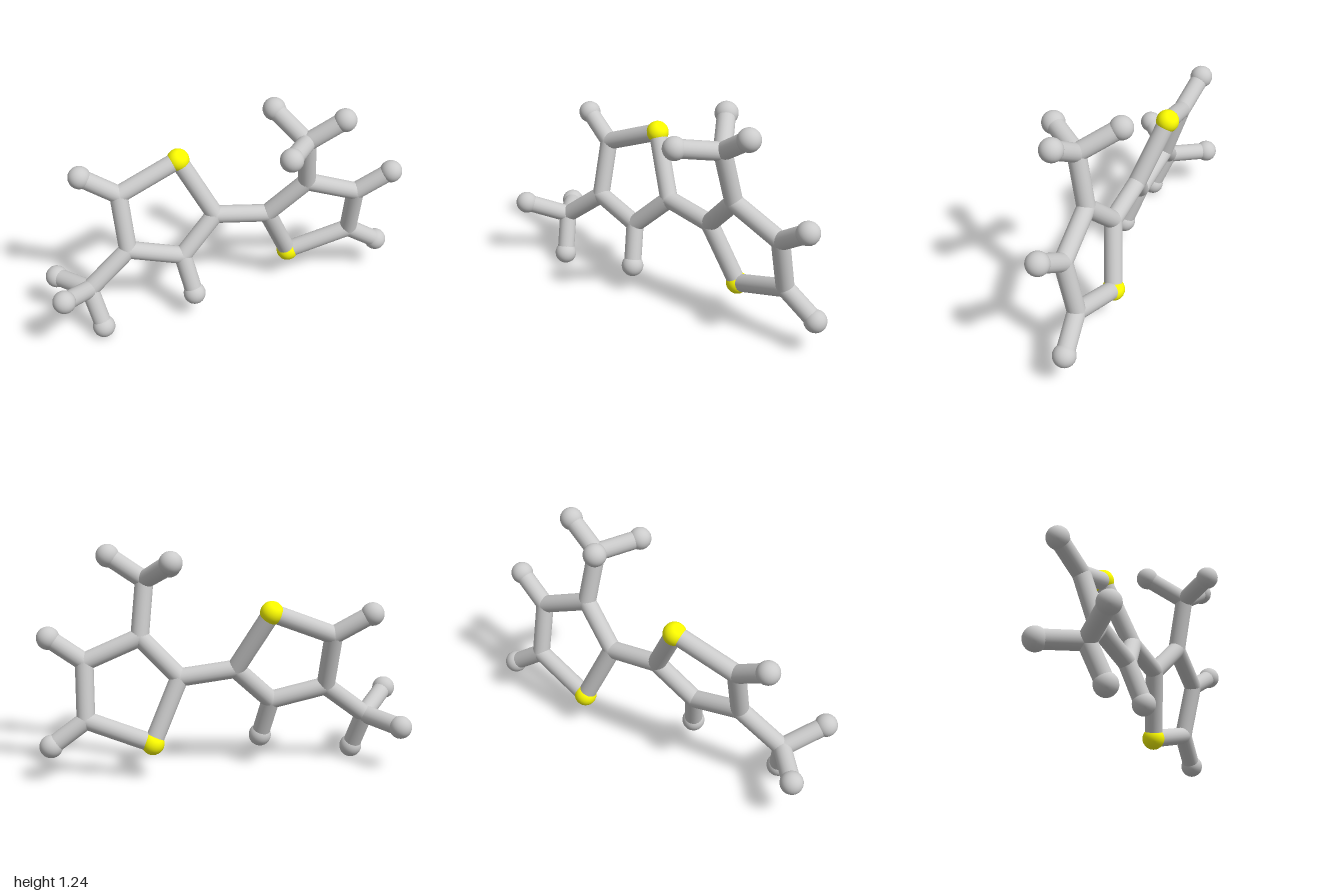
import * as THREE from 'three';

const BALL = 0.062, STICK = 0.049;

// Atom centres: the first letter gives the kind (C joint, S sulphur, H hydrogen)
const atoms = {
  // right-hand ring, its hydrogens and methyl group
  S1: [-0.225, 0.905, -0.21], C2: [-0.048, 0.583, -0.11], C3: [-0.25, 0.385, -0.047],
  C4: [-0.547, 0.462, -0.072], C5: [-0.565, 0.767, -0.165],
  H3: [-0.203, 0.162, 0.027], H5: [-0.76, 0.885, -0.205],
  C6: [-0.78, 0.277, -0.018], H6a: [-0.935, 0.37, 0.168], H6b: [-0.938, 0.252, -0.203], H6c: [-0.728, 0.064, 0.062],
  // left-hand ring, its hydrogens and methyl group
  S11: [0.4, 0.203, -0.172], C12: [0.25, 0.543, -0.103], C13: [0.455, 0.755, -0.048],
  C14: [0.75, 0.632, -0.06], C15: [0.75, 0.33, -0.126],
  H14: [0.936, 0.757, -0.023], H15: [0.936, 0.198, -0.145],
  C16: [0.423, 1.05, 0.015], H16a: [0.276, 1.086, 0.213], H16b: [0.294, 1.168, -0.168], H16c: [0.613, 1.177, 0.052],
};

const bonds = [
  'S1 C2', 'C2 C3', 'C3 C4', 'C4 C5', 'C5 S1', 'C3 H3', 'C5 H5', 'C4 C6', 'C6 H6a', 'C6 H6b', 'C6 H6c',
  'C2 C12',
  'S11 C12', 'C12 C13', 'C13 C14', 'C14 C15', 'C15 S11', 'C14 H14', 'C15 H15', 'C13 C16', 'C16 H16a', 'C16 H16b', 'C16 H16c',
];

export function createModel() {
  const group = new THREE.Group();
  group.name = 'molecule';
  const grey = new THREE.MeshStandardMaterial({ color: 0xcccccc });
  const yellow = new THREE.MeshStandardMaterial({ color: 0xffff00 });
  const ballGeo = new THREE.SphereGeometry(BALL, 24, 16);
  const jointGeo = new THREE.SphereGeometry(STICK, 24, 16);
  const kinds = {
    C: ['carbonJoint', jointGeo, grey],
    H: ['hydrogenBall', ballGeo, grey],
    S: ['sulphurBall', ballGeo, yellow],
  };

  // Balls and rounded joints
  for (const [id, p] of Object.entries(atoms)) {
    const [name, geo, material] = kinds[id[0]];
    const ball = new THREE.Mesh(geo, material);
    ball.name = name;
    ball.position.set(...p);
    group.add(ball);
  }

  // Sticks between the atoms
  const up = new THREE.Vector3(0, 1, 0);
  for (const bond of bonds) {
    const [a, b] = bond.split(' ').map((id) => new THREE.Vector3(...atoms[id]));
    const dir = b.clone().sub(a);
    const stick = new THREE.Mesh(new THREE.CylinderGeometry(STICK, STICK, dir.length(), 20, 1, true), grey);
    stick.name = 'bondStick';
    stick.position.copy(a).add(b).multiplyScalar(0.5);
    stick.quaternion.setFromUnitVectors(up, dir.normalize());
    group.add(stick);
  }
  return group;
}
